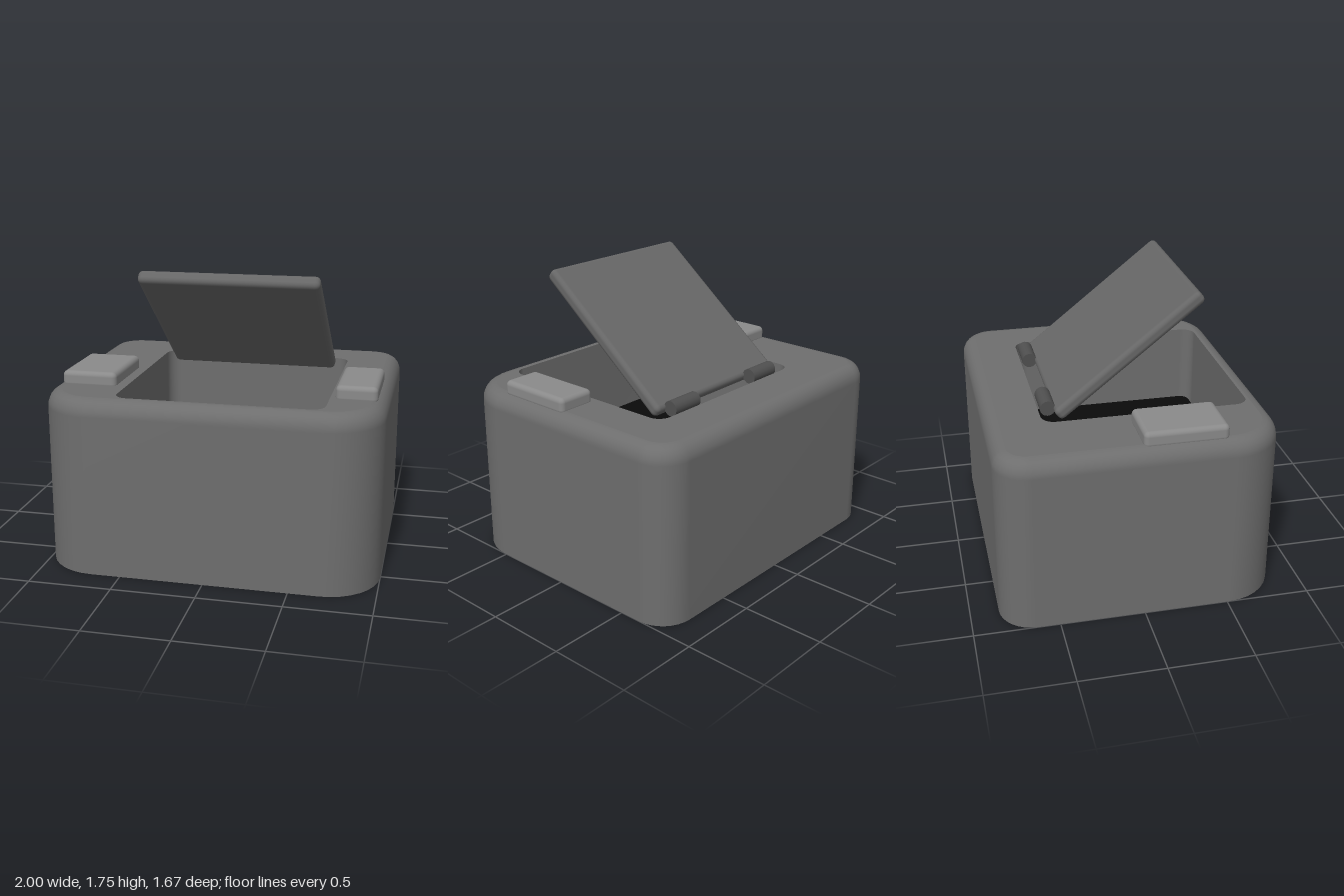
import * as THREE from 'three';
import { RoundedBoxGeometry } from 'three/addons/geometries/RoundedBoxGeometry.js';

const mat = (name, color, side = THREE.FrontSide) => {
  const m = new THREE.MeshStandardMaterial({ color, side });
  m.name = name;
  return m;
};

// Rounded rectangle seen from above, as [x, z] points, with its own front and back radii
function outline(x0, x1, z0, z1, rFront, rBack, inset = 0) {
  const pts = [];
  const corners = [
    [x0 + rFront, z1 - rFront, rFront, Math.PI],
    [x1 - rFront, z1 - rFront, rFront, Math.PI * 1.5],
    [x1 - rBack, z0 + rBack, rBack, 0],
    [x0 + rBack, z0 + rBack, rBack, Math.PI * 0.5],
  ];
  for (const [cx, cz, r, start] of corners) {
    for (let i = 0; i <= 8; i++) {
      const a = start + (i / 8) * Math.PI / 2;
      pts.push([cx + (r - inset) * Math.cos(a), cz - (r - inset) * Math.sin(a)]);
    }
  }
  return pts;
}

// Skin between closed outlines given as { y, pts }
function loft(rings) {
  const pos = [], index = [], n = rings[0].pts.length;
  for (const { y, pts } of rings) for (const [x, z] of pts) pos.push(x, y, z);
  for (let r = 0; r < rings.length - 1; r++) {
    for (let i = 0; i < n; i++) {
      const a = r * n + i, b = r * n + (i + 1) % n;
      index.push(a, b, b + n, a, b + n, a + n);
    }
  }
  const g = new THREE.BufferGeometry();
  g.setAttribute('position', new THREE.Float32BufferAttribute(pos, 3));
  g.setIndex(index);
  g.computeVertexNormals();
  return g;
}

const vectors = (pts) => pts.map(([x, z]) => new THREE.Vector2(x, -z));

export function createModel() {
  const group = new THREE.Group();
  const shell = mat('shell grey', 0x6e6e6e, THREE.DoubleSide);
  const lidGrey = mat('lid grey', 0x676767);
  const buttonGrey = mat('button grey', 0x8a8a8a);
  const hingeGrey = mat('hinge grey', 0x505050);
  const black = mat('floor black', 0x0b0b0b);

  const add = (name, geometry, material, x = 0, y = 0, z = 0) => {
    const m = new THREE.Mesh(geometry, material);
    m.name = name;
    m.position.set(x, y, z);
    group.add(m);
    return m;
  };

  // Outer wall with a rounded top edge
  const height = 1.067, bevelH = 0.1, bevelIn = 0.085;
  const outer = (inset) => outline(-1, 1, -0.833, 0.833, 0.32, 0.2, inset);
  const rings = [{ y: 0, pts: outer(0) }];
  for (let i = 0; i <= 5; i++) {
    const a = (i / 5) * Math.PI / 2;
    rings.push({
      y: height - bevelH + bevelH * Math.sin(a),
      pts: outer(bevelIn * (1 - Math.cos(a))),
    });
  }
  add('outerWall', loft(rings), shell);

  // Flat top with the compartment opening
  const opening = outline(-0.543, 0.672, -0.503, 0.73, 0.08, 0.08);
  const top = new THREE.Shape(vectors(outer(bevelIn)));
  top.holes.push(new THREE.Path(vectors(opening)));
  add('topFace', new THREE.ShapeGeometry(top).rotateX(-Math.PI / 2), shell, 0, height, 0);

  // Compartment walls, ending level with the floor plate
  add('compartmentWall', loft([{ y: height, pts: opening }, { y: 0.53, pts: opening }]), shell);

  // Floor plate, leaving a narrow gap all round
  const floor = new THREE.Shape(vectors(outline(-0.512, 0.637, -0.472, 0.7, 0.06, 0.06)));
  add('compartmentFloor',
    new THREE.ExtrudeGeometry(floor, { depth: 0.04, bevelEnabled: false }).rotateX(-Math.PI / 2),
    black, 0, 0.535, 0);

  // Half base, cut along a diagonal and open on the other side
  const half = outer(0).filter(([x, z]) => z < 0.04 - 0.9 * x);
  add('base',
    new THREE.ShapeGeometry(new THREE.Shape(vectors(half))).rotateX(Math.PI / 2).scale(1, 1, -1),
    shell);

  // Raised lid, tilted up from the hinge line
  const lid = add('lid', new RoundedBoxGeometry(1.066, 0.08, 1.085, 2, 0.03), lidGrey, 0.065, 1.392, 0.022);
  lid.rotation.x = -THREE.MathUtils.degToRad(38.5);

  // Hinge barrels
  for (const x of [-0.295, 0.425]) {
    add('hinge', new THREE.CylinderGeometry(0.046, 0.046, 0.21, 16).rotateZ(Math.PI / 2),
      hingeGrey, x, 1.084, -0.45);
  }

  // Wide and narrow buttons
  for (const [name, x, w] of [['wideButton', -0.772, 0.335], ['narrowButton', 0.823, 0.242]]) {
    add(name, new RoundedBoxGeometry(w, 0.1, 0.49, 3, 0.03), buttonGrey, x, 1.093, 0.24);
  }

  return group;
}
